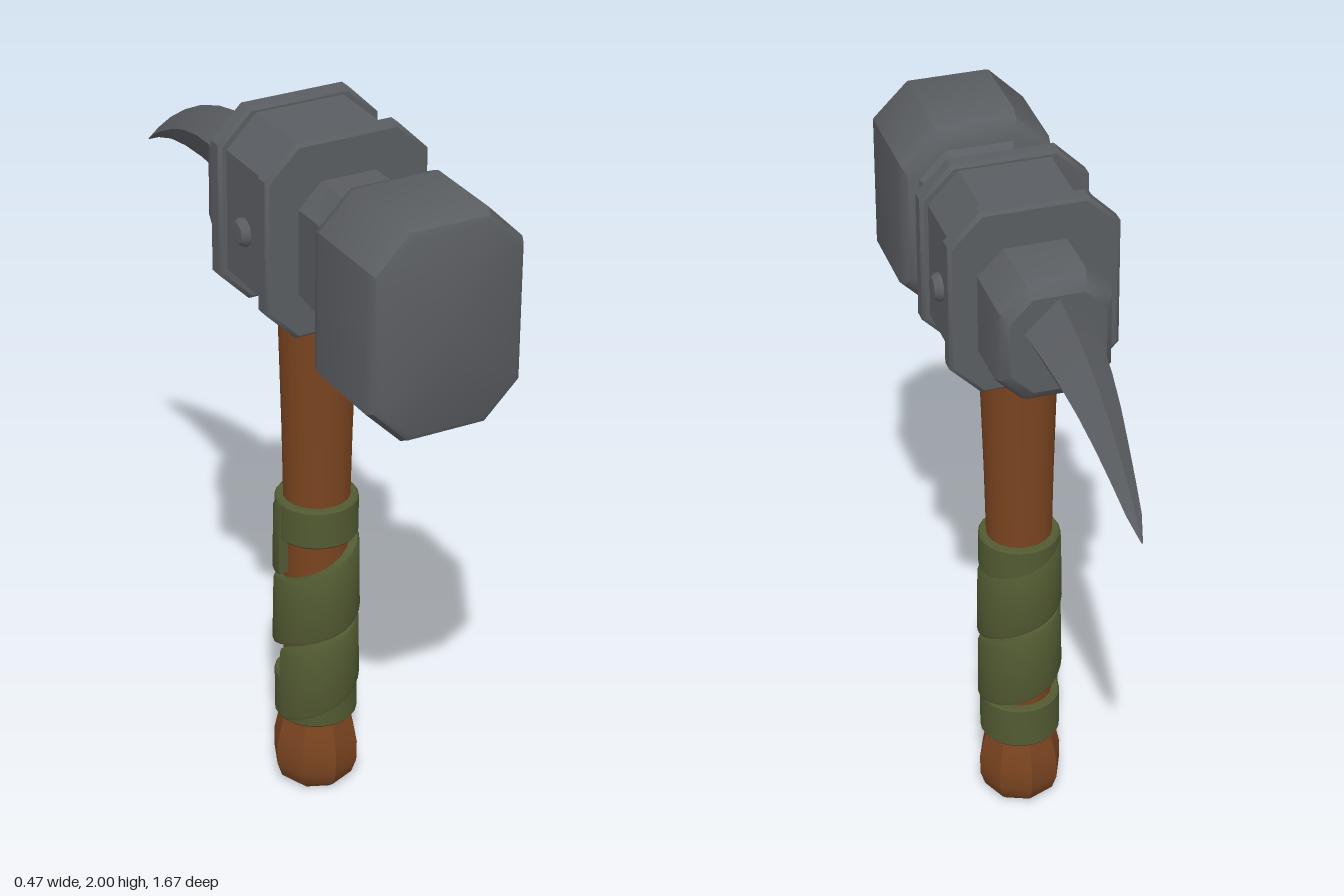
import * as THREE from 'three';
import { toCreasedNormals } from 'three/addons/utils/BufferGeometryUtils.js';

const CREASE = 0.62;
const AXIS_Z = 0.168; // handle axis

// Skin a list of rings (arrays of [x, y, z]) and cap both ends.
function loft(rings) {
  const pos = [];
  const n = rings[0].length;
  const tri = (a, b, c) => pos.push(...a, ...b, ...c);
  const centre = (r) => [0, 1, 2].map((k) => r.reduce((s, p) => s + p[k], 0) / n);
  const first = rings[0], last = rings[rings.length - 1];
  const c0 = centre(first), c1 = centre(last);
  for (let j = 0; j < n; j++) {
    const k = (j + 1) % n;
    for (let i = 0; i < rings.length - 1; i++) {
      const a = rings[i], b = rings[i + 1];
      tri(a[j], b[j], a[k]);
      tri(a[k], b[j], b[k]);
    }
    tri(c0, first[j], first[k]);
    tri(c1, last[k], last[j]);
  }
  const g = new THREE.BufferGeometry();
  g.setAttribute('position', new THREE.Float32BufferAttribute(pos, 3));
  return toCreasedNormals(g, CREASE);
}

// Chamfered rectangle across the head at depth z.
function octagon([z, w, y0, y1, c]) {
  return [
    [w, y0 + c, z], [w, y1 - c, z], [w - c, y1, z], [-w + c, y1, z],
    [-w, y1 - c, z], [-w, y0 + c, z], [-w + c, y0, z], [w - c, y0, z],
  ];
}

const lathe = (points, sides) =>
  new THREE.LatheGeometry(points.map(([r, y]) => new THREE.Vector2(r, y)), sides);

export function createModel() {
  const model = new THREE.Group();
  const mat = (name, color) => {
    const m = new THREE.MeshStandardMaterial({ color });
    m.name = name;
    return m;
  };
  const steel = mat('dark steel', 0x5a5d61);
  const wood = mat('brown wood', 0x7a4420);
  const cloth = mat('olive cloth', 0x525a32);

  const add = (name, geometry, material, x = 0, y = 0, z = 0) => {
    const m = new THREE.Mesh(geometry, material);
    m.name = name;
    m.position.set(x, y, z);
    model.add(m);
    return m;
  };
  const section = (name, rows) => add(name, loft(rows.map(octagon)), steel);

  // Striking block: rings of [z, half width, bottom, top, chamfer]
  section('strikingBlock', [
    [0.836, 0.19, 1.425, 1.95, 0.09],
    [0.828, 0.203, 1.41, 1.966, 0.095],
    [0.805, 0.213, 1.4, 1.977, 0.098],
    [0.57, 0.213, 1.4, 1.977, 0.098],
    [0.54, 0.208, 1.412, 1.965, 0.096],
    [0.52, 0.196, 1.44, 1.94, 0.09],
    [0.508, 0.18, 1.475, 1.915, 0.08],
  ]);

  // Neck flaring into the block
  section('neck', [
    [0.515, 0.172, 1.485, 1.92, 0.075],
    [0.49, 0.158, 1.502, 1.903, 0.07],
    [0.46, 0.147, 1.513, 1.895, 0.066],
    [0.43, 0.143, 1.518, 1.892, 0.064],
    [0.3, 0.14, 1.53, 1.888, 0.064],
  ]);

  // Central socket with two raised collars
  section('socket', [
    [0.3, 0.21, 1.482, 1.985, 0.085],
    [0.04, 0.21, 1.482, 1.985, 0.085],
  ]);
  for (const z of [0.3, 0.043]) {
    section('collar', [
      [z + 0.026, 0.222, 1.474, 1.991, 0.083],
      [z + 0.018, 0.231, 1.465, 2, 0.086],
      [z - 0.018, 0.231, 1.465, 2, 0.086],
      [z - 0.026, 0.222, 1.474, 1.991, 0.083],
    ]);
  }

  // Rivets on both cheeks
  for (const s of [-1, 1]) {
    const rivet = add('rivet',
      toCreasedNormals(lathe([[0.038, 0], [0.038, 0.015], [0.029, 0.027], [0, 0.029]], 12), CREASE),
      steel, s * 0.206, 1.715, AXIS_Z);
    rivet.rotation.z = -s * Math.PI / 2;
  }

  // Rear block carrying the spike
  section('rearBlock', [
    [0.04, 0.155, 1.53, 1.89, 0.07],
    [-0.13, 0.155, 1.53, 1.89, 0.07],
    [-0.16, 0.147, 1.545, 1.877, 0.068],
    [-0.183, 0.128, 1.575, 1.85, 0.06],
  ]);

  // Curved diamond spike: [z, half width, bottom, side ridge, top]
  const spike = [
    [-0.16, 0.094, 1.578, 1.757, 1.847],
    [-0.28, 0.083, 1.598, 1.75, 1.83],
    [-0.39, 0.071, 1.609, 1.735, 1.805],
    [-0.5, 0.057, 1.613, 1.705, 1.765],
    [-0.6, 0.043, 1.607, 1.664, 1.714],
    [-0.69, 0.031, 1.592, 1.62, 1.657],
    [-0.77, 0.02, 1.565, 1.576, 1.595],
    [-0.834, 0.002, 1.534, 1.535, 1.537],
  ];
  add('spike', loft(spike.map(([z, w, b, m, t]) => [[w, m, z], [0, t, z], [-w, m, z], [0, b, z]])), steel);

  // Shaft and faceted pommel
  add('shaft', lathe([[0.09, 0.18], [0.09, 0.85], [0.095, 1.1], [0.107, 1.5]], 20), wood, 0, 0, AXIS_Z);
  const pommel = lathe([[0, 0], [0.085, 0], [0.105, 0.018], [0.119, 0.06], [0.12, 0.12],
    [0.108, 0.175], [0.094, 0.225], [0, 0.225]], 8);
  add('pommel', toCreasedNormals(pommel, CREASE), wood, 0, 0, AXIS_Z);

  // Cloth bands closing each end of the grip
  const band = (y0, y1) => add('gripBand', toCreasedNormals(lathe([
    [0.085, y0], [0.108, y0], [0.113, y0 + 0.006], [0.113, y1 - 0.006], [0.108, y1], [0.085, y1],
  ], 24), CREASE), cloth, 0, 0, AXIS_Z);
  band(0.217, 0.35);
  band(0.785, 0.9);

  // Spiral cloth strip between the bands
  const steps = 64, pitch = 0.23, startY = 0.33, endY = 0.79;
  const strip = [];
  for (let i = 0; i <= steps; i++) {
    const y = startY + (endY - startY) * i / steps;
    const a = (y - 0.615) / pitch * Math.PI * 2;
    const h = 0.107 + 0.006 * Math.sin(a * 1.5);
    const at = (r, dy) => [Math.sin(a) * r, y + dy, Math.cos(a) * r];
    strip.push([at(0.115, -h), at(0.119, -h + 0.012), at(0.116, h - 0.012), at(0.111, h),
      at(0.087, h), at(0.087, -h)]);
  }
  // Keep the strip inside the span of the grip
  for (const ring of strip) for (const p of ring) p[1] = THREE.MathUtils.clamp(p[1], 0.222, 0.895);
  add('gripStrip', loft(strip), cloth, 0, 0, AXIS_Z);

  return model;
}
